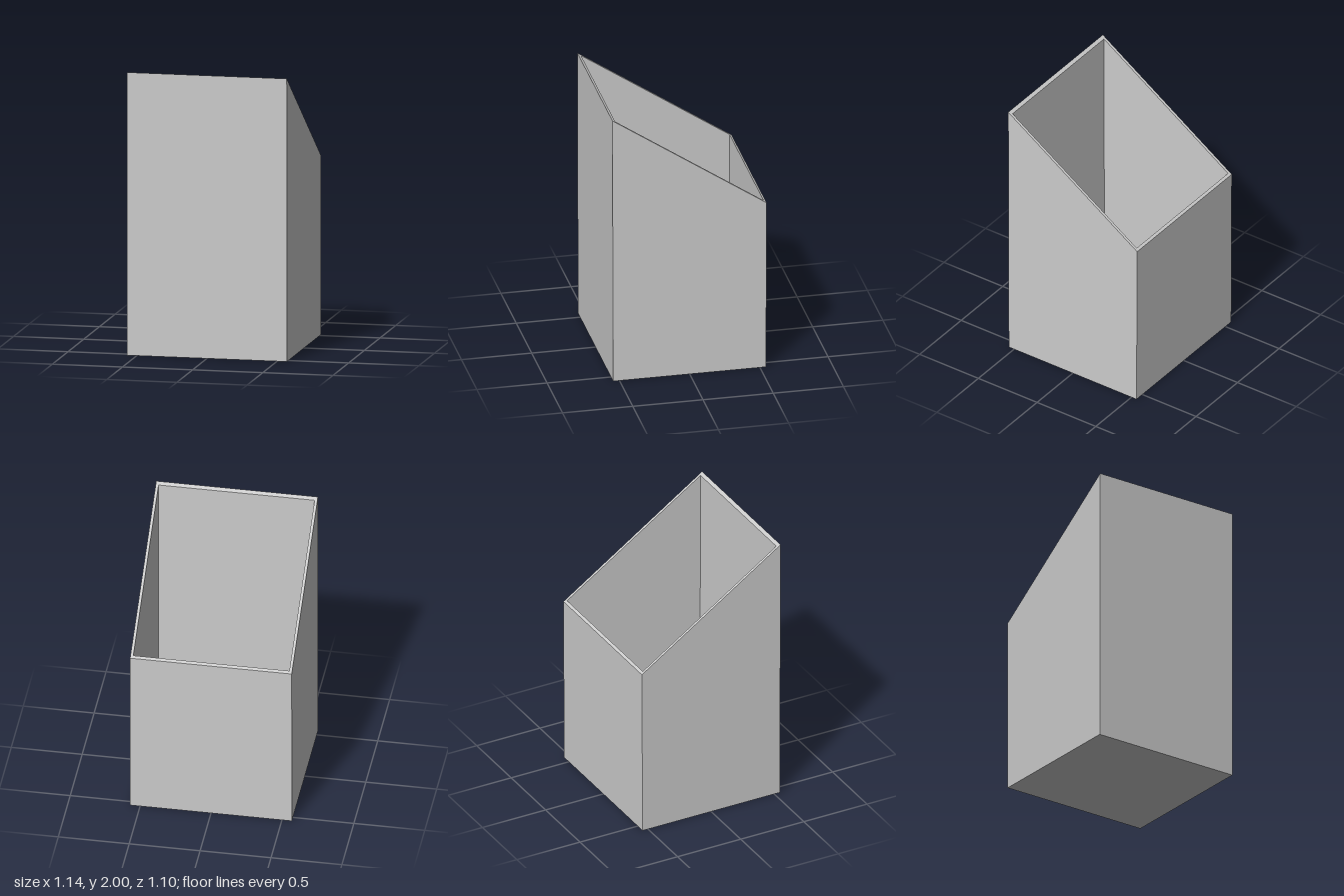
import * as THREE from 'three';

// Height of the sloping rim at depth z
const rimY = (z) => 2 - (0.55 - z) * (0.74 / 1.098);

// Four corners, counterclockwise from above, starting front right
function ring(halfWidth, zFront, zBack, height) {
  return [[-1, zFront], [1, zFront], [1, zBack], [-1, zBack]]
    .map(([side, z]) => [side * halfWidth, height(z), z]);
}

export function createModel() {
  const group = new THREE.Group();
  group.name = 'slopedBin';

  // Cross-sections: up the outside, over the rim, down the inside
  const rings = [
    ring(0.57, 0.545, -0.543, () => 0),
    ring(0.57, 0.55, -0.548, rimY),
    ring(0.55, 0.527, -0.53, rimY),
    ring(0.55, 0.522, -0.525, () => 0.02),
  ];

  const positions = [];
  const quad = (a, b, c, d) => positions.push(...a, ...b, ...c, ...a, ...c, ...d);

  // Walls and rim
  for (let k = 0; k < rings.length - 1; k++) {
    for (let j = 0; j < 4; j++) {
      const n = (j + 1) % 4;
      quad(rings[k][j], rings[k][n], rings[k + 1][n], rings[k + 1][j]);
    }
  }
  // Inside floor and underside
  quad(...rings[3]);
  quad(...[...rings[0]].reverse());

  const geometry = new THREE.BufferGeometry();
  geometry.setAttribute('position', new THREE.Float32BufferAttribute(positions, 3));
  geometry.computeVertexNormals();

  const bin = new THREE.Mesh(geometry, new THREE.MeshStandardMaterial({ color: 0xcccccc, flatShading: true }));
  bin.name = 'openBinShell';
  group.add(bin);
  return group;
}
